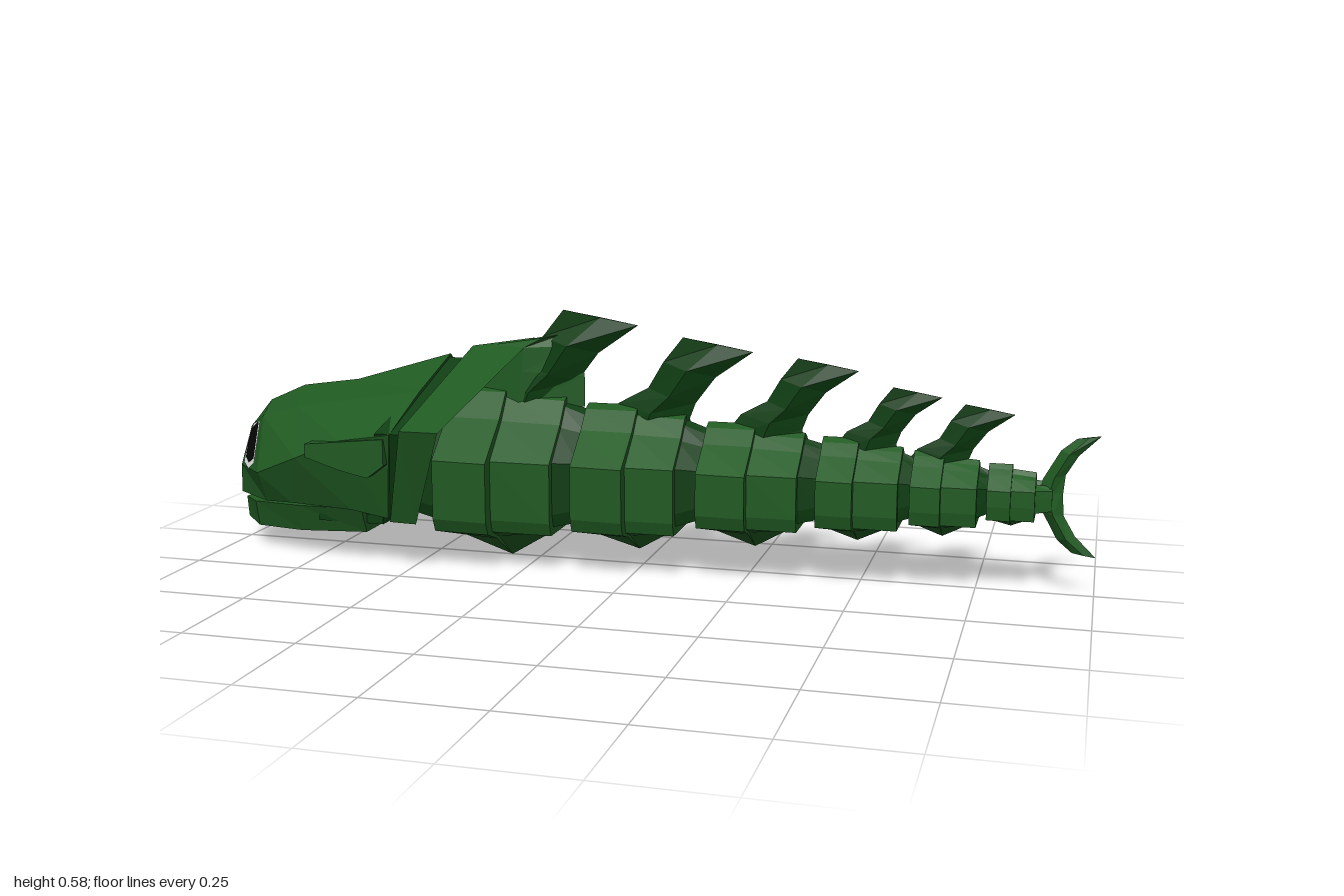
import * as THREE from 'three';

const mat = (name, color) => Object.assign(
  new THREE.MeshStandardMaterial({ color, flatShading: true, side: THREE.DoubleSide }), { name });

// Mirror a half outline (top to bottom, z >= 0) into a full ring.
const ring = (half) => [
  ...half,
  ...half.filter((p) => p[2] !== 0).reverse().map(([x, y, z]) => [x, y, -z]),
];

// Skin a list of half outlines; open leaves out the strip across the bottom.
function skin(halves, { caps = true, open = false } = {}) {
  const rings = halves.map(ring), n = rings[0].length, pos = [];
  const tri = (...pts) => pts.forEach((p) => pos.push(...p));
  for (let i = 0; i < rings.length - 1; i++) {
    for (let j = 0; j < n; j++) {
      if (open && j === halves[0].length - 1) continue;
      const k = (j + 1) % n;
      const a = rings[i][j], b = rings[i + 1][j], c = rings[i + 1][k], d = rings[i][k];
      tri(a, d, c);
      tri(a, c, b);
    }
  }
  if (caps) {
    for (const [r, end] of [[rings[0], false], [rings[rings.length - 1], true]]) {
      const mid = [0, 1, 2].map((q) => r.reduce((s, p) => s + p[q], 0) / n);
      for (let j = 0; j < n; j++) {
        const p = r[j], q = r[(j + 1) % n];
        if (end) tri(mid, p, q); else tri(mid, q, p);
      }
    }
  }
  const g = new THREE.BufferGeometry();
  g.setAttribute('position', new THREE.Float32BufferAttribute(pos, 3));
  g.computeVertexNormals();
  return g;
}

export function createModel() {
  const model = new THREE.Group();
  const green = mat('scale green', 0x205a22);
  const deep = mat('deep green', 0x0c3c10);
  const white = mat('eye white', 0xffffff);
  const black = mat('pupil black', 0x060606);
  const add = (name, geometry, material) => {
    const m = new THREE.Mesh(geometry, material);
    m.name = name;
    model.add(m);
  };

  // Head: ridge, brow, cheek, lip, and palate in each section
  const headRings = [
    [[-0.972, 0.29, 0], [-0.97, 0.28, 0.03], [-0.985, 0.19, 0.06], [-0.995, 0.12, 0.045], [-1, 0.12, 0]],
    [[-0.93, 0.34, 0], [-0.9, 0.32, 0.1], [-0.88, 0.2, 0.18], [-0.88, 0.125, 0.14], [-0.88, 0.125, 0]],
    [[-0.84, 0.38, 0], [-0.8, 0.35, 0.12], [-0.76, 0.25, 0.225], [-0.8, 0.132, 0.17], [-0.8, 0.132, 0]],
    [[-0.7, 0.4, 0], [-0.68, 0.37, 0.12], [-0.64, 0.3, 0.245], [-0.64, 0.13, 0.19], [-0.64, 0.13, 0]],
    [[-0.465, 0.47, 0], [-0.49, 0.4, 0.13], [-0.515, 0.32, 0.25], [-0.55, 0.115, 0.19], [-0.55, 0.115, 0]],
  ];
  add('head', skin(headRings), green);

  // Lower jaw
  const jaw = [[-0.98, 0.05, 0.11, 0.06], [-0.93, 0.1, 0.112, 0.05], [-0.8, 0.145, 0.12, 0.055], [-0.62, 0.18, 0.13, 0.07]];
  add('lowerJaw', skin(jaw.map(([x, w, top, low]) =>
    [[x, top, 0], [x, top, w], [x, low, w * 0.85], [x, low, 0]])), green);
  add('jawHinge', new THREE.BoxGeometry(0.16, 0.07, 0.3).translate(-0.66, 0.125, 0), deep);

  // Cheek plates
  const cheek = new THREE.Shape([[-0.72, 0.26], [-0.64, 0.235], [-0.57, 0.22], [-0.53, 0.25], [-0.53, 0.31], [-0.72, 0.29]]
    .map(([x, y]) => new THREE.Vector2(x, y)));
  for (const z of [0.21, -0.252]) {
    add('cheekPlate', new THREE.ExtrudeGeometry(cheek, { depth: 0.042, bevelEnabled: false }).translate(0, 0, z), green);
  }

  // Eyes: thin faces placed by fractions of the brow-to-cheek panel
  const [b0, c0] = headRings[0].slice(1, 3).map((p) => new THREE.Vector3(...p));
  const [b1, c1] = headRings[1].slice(1, 3).map((p) => new THREE.Vector3(...p));
  const out = c0.clone().sub(b0).cross(b1.clone().sub(b0)).normalize();
  const eyeFace = (outline, lift, side) => {
    const pts = outline.map(([u, v]) => {
      const p = b0.clone().lerp(b1, u).lerp(c0.clone().lerp(c1, u), v).addScaledVector(out, lift);
      return [p.x, p.y, p.z * side];
    });
    const pos = [];
    for (let i = 1; i < pts.length - 1; i++) {
      const [p, q] = side > 0 ? [i, i + 1] : [i + 1, i];
      pos.push(...pts[0], ...pts[p], ...pts[q]);
    }
    const g = new THREE.BufferGeometry();
    g.setAttribute('position', new THREE.Float32BufferAttribute(pos, 3));
    g.computeVertexNormals();
    return g;
  };
  for (const side of [1, -1]) {
    add('eyeWhite', eyeFace([[0.4, 0.06], [0.22, 0.4], [0.26, 0.9], [0.6, 1], [0.9, 0.85], [0.98, 0.1]], 0.006, side), white);
    add('pupil', eyeFace([[0.47, 0.16], [0.36, 0.45], [0.4, 0.78], [0.65, 0.88], [0.92, 0.78], [0.98, 0.12]], 0.009, side), black);
  }

  // Collar: a hollow hood behind the head, open below, with a stepped rim
  const collarFront = [[-0.41, 0.49, 0], [-0.48, 0.335, 0.275], [-0.54, 0.11, 0.2]];
  const collarBack = [[-0.26, 0.514, 0], [-0.38, 0.34, 0.298], [-0.475, 0.11, 0.205]];
  const inset = (half, dx, s) => half.map(([x, y, z]) => [x + dx, 0.2 + (y - 0.2) * s, z * s]);
  const shell = { caps: false, open: true };
  const lip = inset(collarBack, -0.07, 0.89), step = inset(collarBack, -0.07, 0.82);
  add('collar', skin([collarFront, collarBack], shell), green);
  add('collarRim', skin([collarBack, lip, step], shell), deep);
  add('collarInside', skin([step, inset(collarBack, -0.2, 0.55)], shell), green);
  add('collarGroove', skin([inset(collarFront, -0.07, 0.9), inset(collarFront, 0, 0.9), collarFront], shell), deep);

  // Body: armoured segments, each a wide front plate and a narrower rear plate
  const section = (x, w, shoulder, top, base, keel) => [
    [x, top, 0], [x, top - 0.01, w * 0.18], [x, shoulder + (top - shoulder) * 0.56, w * 0.44],
    [x, shoulder, w], [x, base + 0.03, w], [x, base, w * 0.92], [x, base * 0.75 + keel * 0.25, w * 0.6], [x, keel, 0],
  ];
  // start, middle, end, half width, shoulder, top, base, keel
  const segments = [
    [-0.45, -0.32, -0.18, 0.175, 0.25, 0.4, 0.085, 0],
    [-0.13, -0.01, 0.1, 0.155, 0.25, 0.37, 0.1, 0.035],
    [0.15, 0.26, 0.37, 0.132, 0.245, 0.34, 0.122, 0.06],
    [0.41, 0.49, 0.585, 0.107, 0.24, 0.32, 0.135, 0.09],
    [0.61, 0.675, 0.75, 0.085, 0.235, 0.3, 0.15, 0.112],
    [0.77, 0.82, 0.87, 0.055, 0.23, 0.28, 0.165, 0.145],
  ];
  let previous = [-0.57, 0.15, 0.25, 0.38, 0.12];
  for (const [x0, xm, x1, w, shoulder, top, base, keel] of segments) {
    const r = w * 0.82;
    add('bodySegment', skin([
      section(x0, w * 0.96, shoulder, top, base, base),
      section(xm, w, shoulder, top, base, keel),
      section(xm, r, shoulder, top - 0.01, base, keel),
      section(x1, r, shoulder, top - 0.015, base, base),
    ]), green);
    // Joint linking to the segment ahead
    const [px, pw, ps, pt, pb] = previous;
    add('bodyJoint', skin([
      section(px - 0.01, pw * 0.88, ps, pt - 0.025, pb + 0.015, pb + 0.015),
      section(x0 + 0.01, w * 0.75, shoulder, top - 0.02, base + 0.015, base + 0.015),
    ]), deep);
    previous = [x1, r, shoulder, top, base];
  }

  // Swept blades: sharp leading and trailing edges, thick in the middle
  const blade = ([lx, ly, tx, ty, t]) => [[lx, ly, 0], [(lx + tx) / 2, (ly + ty) / 2, t], [tx, ty, 0]];
  const finStations = [
    [-0.2, -0.22, 0.02, -0.23, 0.03], [-0.15, -0.155, 0.015, -0.187, 0.03],
    [-0.08, -0.117, 0.03, -0.147, 0.03], [-0.045, -0.057, 0.075, -0.087, 0.028], [0, 0, 0.16, -0.027, 0.003],
  ];
  for (const [x, y, s] of [[-0.19, 0.58, 1.1], [0.09, 0.527, 1], [0.35, 0.49, 0.84], [0.56, 0.435, 0.66], [0.715, 0.405, 0.66]]) {
    add('backFin', skin(finStations.map(([a, b, c, d, t]) =>
      blade([x + a * s, y + b * s, x + c * s, y + d * s, t * s]))), deep);
  }
  // Ridge joining the first fin to the collar
  add('napeRidge', skin([[-0.44, 0.36, -0.14, 0.36, 0.034], [-0.42, 0.45, -0.14, 0.43, 0.034], [-0.4, 0.488, -0.15, 0.5, 0.033], [-0.27, 0.51, -0.19, 0.525, 0.028]]
    .map(blade)), green);

  // Tail: a stalk and two mirrored lobes
  add('tailStalk', skin([section(0.86, 0.035, 0.23, 0.25, 0.18, 0.18), section(0.905, 0.02, 0.23, 0.245, 0.185, 0.185)]), green);
  const lobe = [[0.86, 0.2, 0.925, 0.205, 0.018], [0.885, 0.255, 0.93, 0.262, 0.017], [0.918, 0.315, 0.955, 0.305, 0.014], [0.95, 0.342, 1, 0.35, 0.003]];
  add('upperTailLobe', skin(lobe.map(blade)), green);
  add('lowerTailLobe', skin(lobe.map(([a, b, c, d, t]) => blade([a, 0.435 - b, c, 0.435 - d, t])).reverse()), green);

  return model;
}
